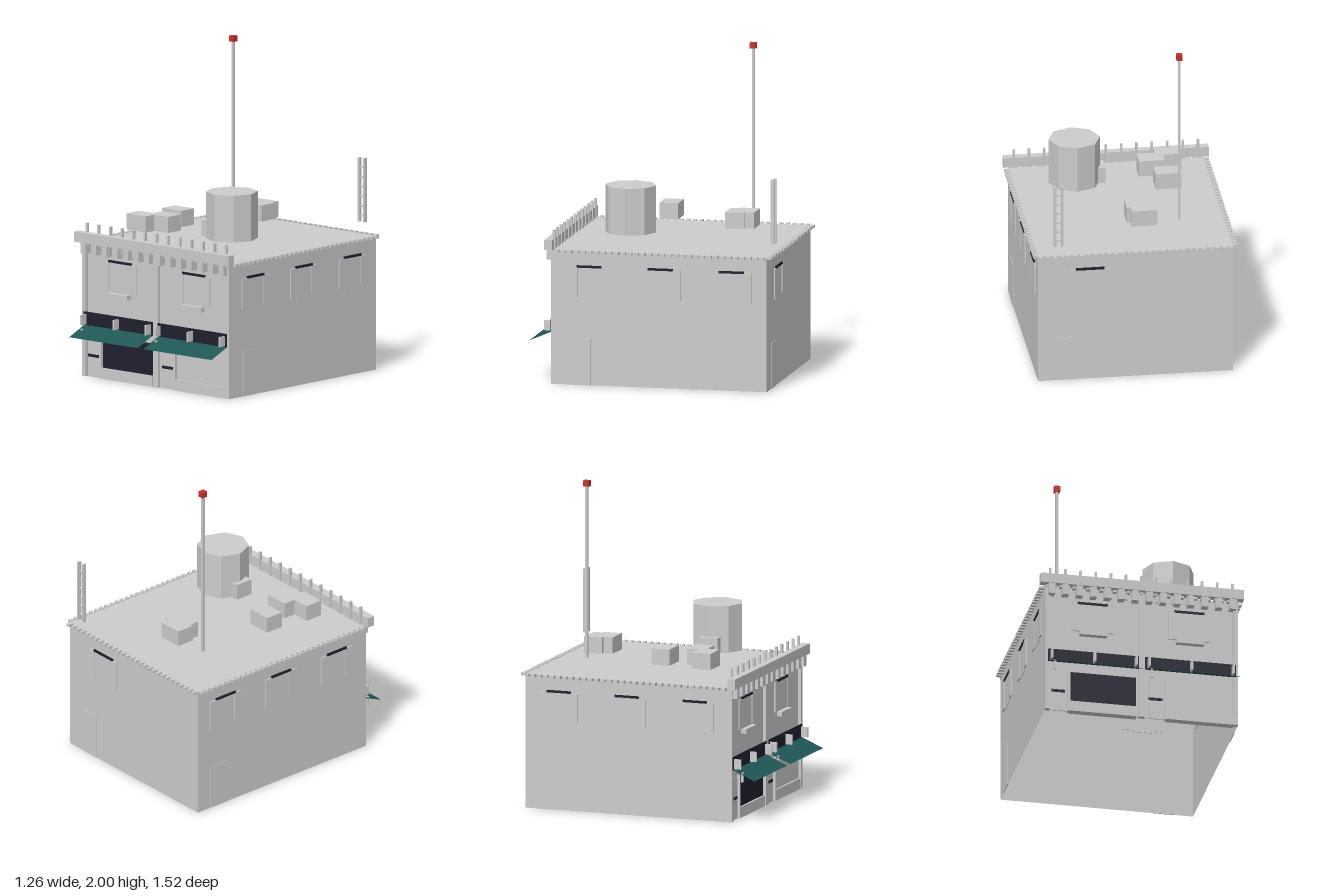
import * as THREE from 'three';

export function createModel() {
  const model = new THREE.Group();
  const mat = (name, color) => {
    const m = new THREE.MeshStandardMaterial({ color, side: THREE.DoubleSide });
    m.name = name;
    return m;
  };
  const grey = mat('stone grey', 0xcccccc);
  const dark = mat('dark glass', 0x20202e);
  const green = mat('awning green', 0x1f5754);
  const red = mat('beacon red', 0xcc302b);

  // Box given by its lower and upper limits on each axis
  const box = (name, x0, x1, y0, y1, z0, z1, material = grey, parent = model) => {
    const mesh = new THREE.Mesh(new THREE.BoxGeometry(x1 - x0, y1 - y0, z1 - z0), material);
    mesh.position.set((x0 + x1) / 2, (y0 + y1) / 2, (z0 + z1) / 2);
    mesh.name = name;
    parent.add(mesh);
    return mesh;
  };

  // Hollow shell, open underneath
  const shell = new THREE.BoxGeometry(1.2, 0.83, 1.33);
  shell.groups.splice(3, 1);
  const walls = new THREE.Mesh(shell, Array(6).fill(grey));
  walls.position.set(0, 0.415, -0.065);
  walls.name = 'walls';
  model.add(walls);

  // Pilasters on the front
  for (const [a, b] of [[-0.6, -0.57], [-0.02, 0.02], [0.57, 0.6]])
    box('pilaster', a, b, 0, 0.83, 0.59, 0.62);

  // Small teeth around the roof edge
  for (let i = 0; i < 29; i++) {
    const x = -0.586 + i * 0.0418;
    box('backTooth', x - 0.011, x + 0.011, 0.818, 0.835, -0.76, -0.73);
    box('frontTooth', x - 0.011, x + 0.011, 0.818, 0.835, 0.6, 0.63);
  }
  for (let i = 0; i < 32; i++) {
    const z = -0.71 + i * 0.0415;
    for (const s of [-1, 1])
      box('sideTooth', s * 0.615 - 0.015, s * 0.615 + 0.015, 0.818, 0.835, z - 0.011, z + 0.011);
  }

  // Front cornice with posts above and brackets below
  box('cornice', -0.635, 0.63, 0.832, 0.895, 0.605, 0.655);
  for (let i = 0; i < 13; i++) {
    const x = -0.568 + i * 0.0946;
    box('cornicePost', x - 0.007, x + 0.007, 0.78, 0.95, 0.598, 0.614);
  }
  for (let i = 0; i < 14; i++) {
    const x = -0.565 + i * 0.0868;
    box('corniceBracket', x - 0.02, x + 0.02, 0.765, 0.832, 0.6, 0.65);
  }

  // Upper window facing local +z: pane, shutters and dark head strip
  const addWindow = (x, z, turn, outer, inner, sill) => {
    const g = new THREE.Group();
    g.name = 'window';
    g.position.set(x, 0, z);
    g.rotation.y = turn;
    const h = inner / 2;
    box('pane', -h, h, 0.535, 0.728, -0.004, 0.003, grey, g);
    for (const s of [-1, 1]) {
      const a = s * h, b = s * outer / 2;
      box('shutter', Math.min(a, b), Math.max(a, b), 0.545, 0.73, -0.004, 0.008, grey, g);
    }
    box('windowHead', -h - 0.008, h + 0.008, 0.727, 0.741, 0, 0.009, dark, g);
    if (sill) box('sill', -h, h, 0.513, 0.542, 0, 0.035, grey, g);
    model.add(g);
  };
  for (const x of [-0.303, 0.3]) addWindow(x, 0.6, 0, 0.265, 0.17, true);
  for (const z of [-0.51, -0.065, 0.38]) {
    addWindow(0.6, z, Math.PI / 2, 0.25, 0.14, false);
    addWindow(-0.6, z, -Math.PI / 2, 0.25, 0.14, false);
  }
  addWindow(0.28, -0.73, Math.PI, 0.25, 0.16, false);

  // Plain service doors
  box('sideDoor', 0.598, 0.603, 0, 0.285, 0.37, 0.5);
  box('sideDoor', -0.603, -0.598, 0, 0.285, -0.63, -0.5);
  box('backDoor', 0.35, 0.485, 0, 0.285, -0.733, -0.728);

  // Two shopfronts; only the first has dark glass
  [-0.3, 0.305].forEach((cx, i) => {
    const shop = new THREE.Group();
    shop.name = 'shopfront';
    shop.position.x = cx;
    model.add(shop);
    box('signBand', -0.285, 0.28, 0.32, 0.402, 0.617, 0.624, dark, shop);
    for (const x of [-0.265, 0, 0.26])
      box('signBracket', x - 0.006, x + 0.006, 0.325, 0.387, 0.62, 0.668, grey, shop);

    // Thin sloping awning
    const awning = new THREE.Mesh(new THREE.PlaneGeometry(0.558, Math.hypot(0.14, 0.06)), green);
    awning.rotation.x = -Math.atan2(0.14, 0.06);
    awning.position.set(0, 0.29, 0.69);
    awning.name = 'awning';
    shop.add(awning);
    box('doorLamp', -0.26, -0.245, 0.245, 0.303, 0.666, 0.679, grey, shop);

    // Door, its dark slot and the display window over a plinth
    box('door', -0.255, -0.165, 0, 0.25, 0.598, 0.604, grey, shop);
    box('letterSlot', -0.26, -0.175, 0.123, 0.14, 0.602, 0.608, dark, shop);
    box('doorJamb', -0.16, -0.145, 0, 0.27, 0.58, 0.618, grey, shop);
    box('plinth', -0.145, 0.27, 0, 0.067, 0.57, 0.618, grey, shop);
    box('displayWindow', -0.142, 0.266, 0.067, 0.265, 0.597, 0.605, i ? grey : dark, shop);
  });

  // Rooftop units
  for (const [x, z] of [[-0.085, -0.455], [-0.063, -0.395], [-0.305, 0.07],
    [-0.23, 0.275], [-0.343, 0.353], [0.143, 0.21]])
    box('roofUnit', x - 0.079, x + 0.079, 0.9, 1.0, z - 0.059, z + 0.059);

  // Eight-sided water tank
  const tankGeometry = new THREE.CylinderGeometry(0.159, 0.159, 0.29, 8).toNonIndexed();
  tankGeometry.computeVertexNormals();
  const tank = new THREE.Mesh(tankGeometry, grey);
  tank.position.set(0.25, 1.045, 0.2);
  tank.name = 'waterTank';
  model.add(tank);

  // Mast with a beacon
  box('mast', -0.317, -0.301, 0.9, 1.967, -0.448, -0.432);
  box('beacon', -0.327, -0.291, 1.964, 2.0, -0.459, -0.421, red);

  // Ladder at the back edge
  for (const x of [0.453, 0.497]) box('ladderRail', x - 0.007, x + 0.007, 0.9, 1.297, -0.755, -0.733);
  for (let i = 0; i < 6; i++)
    box('ladderRung', 0.455, 0.495, 0.932 + i * 0.06, 0.942 + i * 0.06, -0.748, -0.74);

  return model;
}
